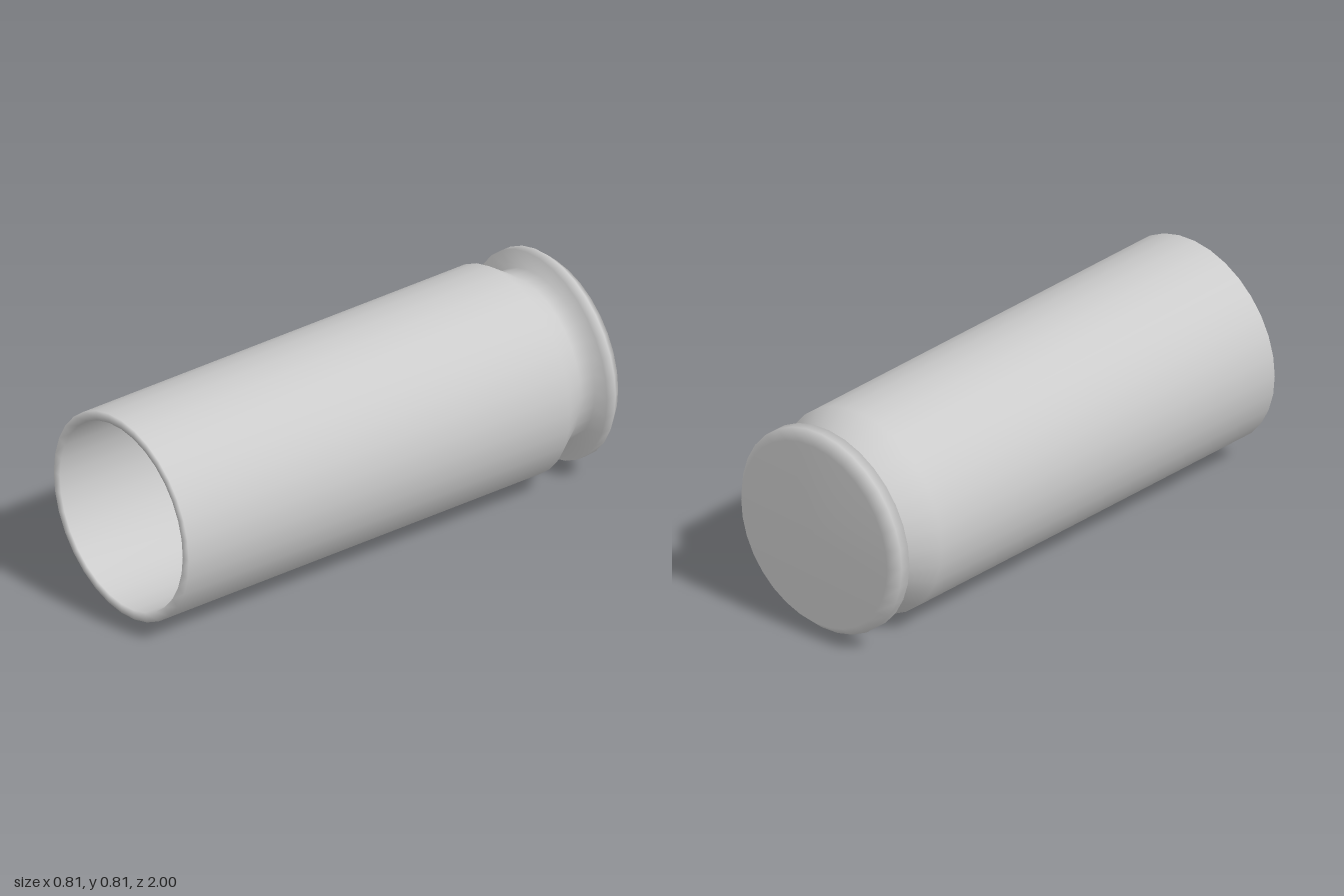
import * as THREE from 'three';

const SIDES = 32;
const R = 0.407; // outer radius of body and rim

// Turns a [radius, z] profile around the z axis
function turned(name, profile, material) {
  const geometry = new THREE.LatheGeometry(profile.map(([r, z]) => new THREE.Vector2(r, z)), SIDES);
  geometry.rotateX(Math.PI / 2);
  const mesh = new THREE.Mesh(geometry, material);
  mesh.name = name;
  return mesh;
}

export function createModel() {
  const group = new THREE.Group();
  group.name = 'casing';
  const material = new THREE.MeshStandardMaterial({ color: 0xcccccc });

  // One continuous wall: closed base, flange, groove, shoulder, body, mouth, hollow inside
  const shell = turned('shell', [
    [0, -1], [0.37, -1],                  // base disc
    [R, -0.96], [R, -0.92],               // chamfered flange
    [0.335, -0.92], [0.335, -0.855],      // extractor groove
    [R, -0.75], [R, 1],                   // shoulder and body
    [0.37, 1], [0.37, -0.75], [0, -0.75], // mouth lip, bore and floor
  ], material);
  shell.position.y = R;
  group.add(shell);
  return group;
}
